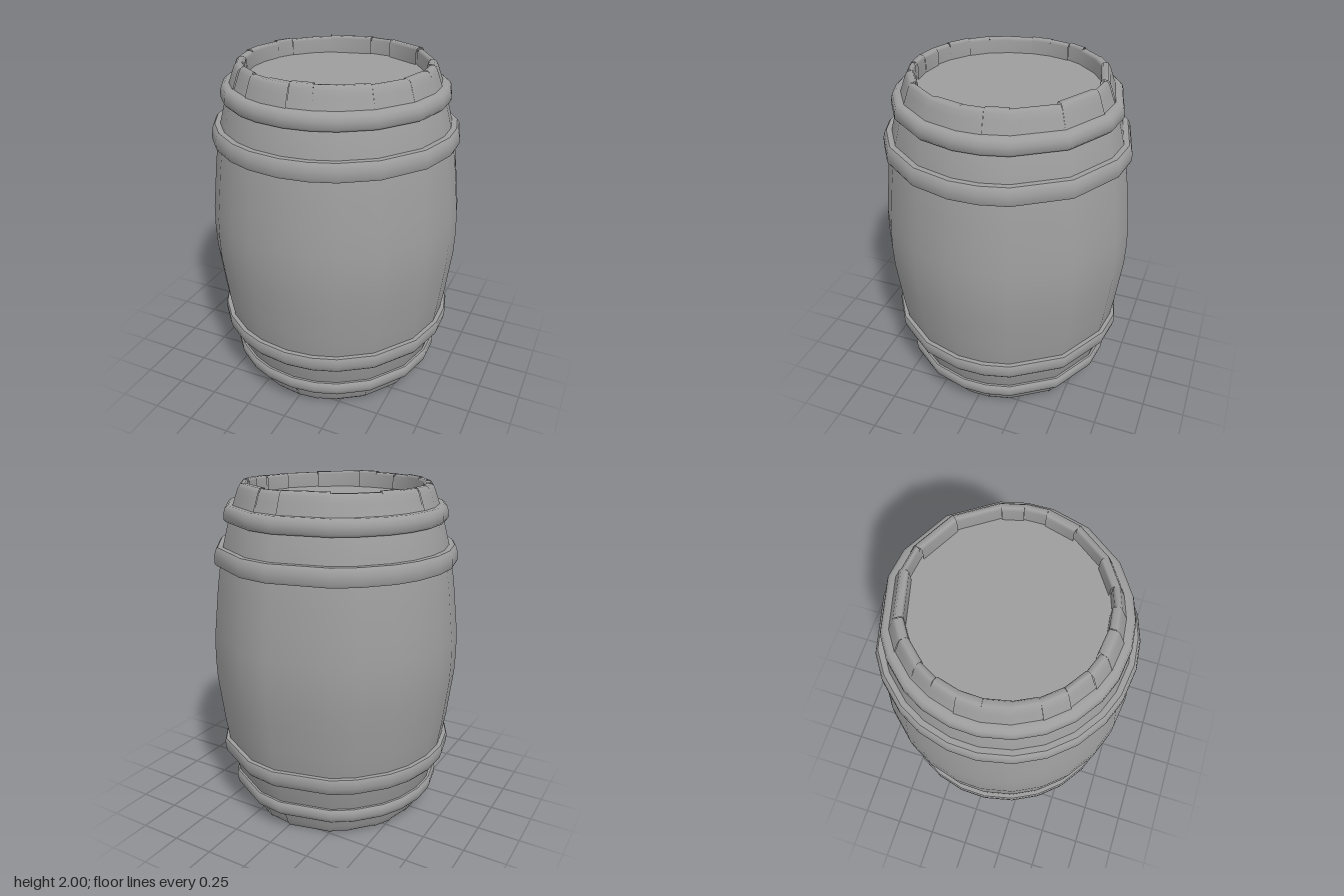
import * as THREE from 'three';
import { mergeVertices, toCreasedNormals } from 'three/addons/utils/BufferGeometryUtils.js';

const COLOR = 0x9d9d9d;
const material = new THREE.MeshStandardMaterial({ color: COLOR });
const staveMaterial = new THREE.MeshStandardMaterial({ color: COLOR, side: THREE.DoubleSide });

// uneven stave joints around the barrel, in degrees from +z towards +x
const JOINTS = [0, 13, 25, 43, 66, 85, 98, 111, 138, 165, 180, 208, 220, 236, 248, 262, 275, 290, 304, 318, 333, 345];
const N = JOINTS.length;
const rad = THREE.MathUtils.degToRad;

// revolve a profile of [radius, y] with its corners at the uneven joints
function turn(profile, crease) {
  const pts = profile.map(([r, y]) => new THREE.Vector2(r, y));
  const geo = new THREE.LatheGeometry(pts, N);
  const pos = geo.attributes.position;
  for (let i = 0; i < pos.count; i++) {
    const seg = Math.floor(i / pts.length) % N;
    const [r, y] = profile[i % pts.length];
    const a = rad(JOINTS[seg]);
    pos.setXYZ(i, r * Math.sin(a), y, r * Math.cos(a));
  }
  geo.deleteAttribute('uv');
  geo.deleteAttribute('normal');
  return toCreasedNormals(mergeVertices(geo, 1e-4), crease);
}

// mirror a profile about mid height, keeping its faces outward
const flip = (profile) => profile.map(([r, y]) => [r, 2 - y]).reverse();

function add(parent, name, geo, mat = material) {
  const mesh = new THREE.Mesh(geo, mat);
  mesh.name = name;
  parent.add(mesh);
}

// small seeded generator for the worn stave ends
function seeded(seed) {
  return () => (seed = (seed * 16807) % 2147483647) / 2147483647;
}

export function createModel() {
  const barrel = new THREE.Group();
  barrel.name = 'barrel';

  // bulging body with a recessed lid at each end
  const upper = [
    [0.738, 1.13], [0.722, 1.27], [0.705, 1.42], [0.685, 1.55], [0.662, 1.66],
    [0.627, 1.79], [0.585, 1.9], [0.545, 1.975], [0.528, 1.975], [0.524, 1.9], [0, 1.9],
  ];
  add(barrel, 'body', turn([...flip(upper), [0.742, 1], ...upper], rad(45)));

  // iron hoops, tilted to follow the bulge
  const hoops = {
    OuterHoop: [[0.61, 1.79], [0.64, 1.79], [0.652, 1.805], [0.65, 1.84], [0.642, 1.867], [0.625, 1.88], [0.585, 1.88]],
    InnerHoop: [[0.67, 1.55], [0.71, 1.55], [0.717, 1.565], [0.715, 1.605], [0.707, 1.635], [0.695, 1.65], [0.65, 1.65]],
  };
  for (const [name, profile] of Object.entries(hoops)) {
    add(barrel, 'upper' + name, turn(profile, rad(50)));
    add(barrel, 'lower' + name, turn(flip(profile), rad(50)));
  }

  // worn stave ends around each lid, softly rounded over the top
  const rand = seeded(77);
  const rims = { upperStaveEnds: new THREE.Group(), lowerStaveEnds: new THREE.Group() };
  for (let i = 0; i < N; i++) {
    const a0 = rad(JOINTS[i]);
    const a1 = rad(JOINTS[i + 1] ?? 360);
    const top = 2 - rand() * 0.012;
    const off = (rand() - 0.5) * 0.008;
    const inner = 0.507 + rand() * 0.016;
    const profile = [
      [0.612, 1.84], [0.598 + off, 1.88], [0.576 + off, 1.94], [0.563 + off, 1.975], [0.548 + off, top],
      [inner + 0.01, top], [inner, top - 0.015], [inner, 1.89],
    ];
    for (const [name, rim] of Object.entries(rims)) {
      const p = name === 'upperStaveEnds' ? profile : flip(profile);
      const geo = new THREE.LatheGeometry(p.map(([r, y]) => new THREE.Vector2(r, y)), 1, a0, a1 - a0);
      add(rim, 'staveEnd', geo, staveMaterial);
    }
  }
  for (const [name, rim] of Object.entries(rims)) {
    rim.name = name;
    barrel.add(rim);
  }

  return barrel;
}
